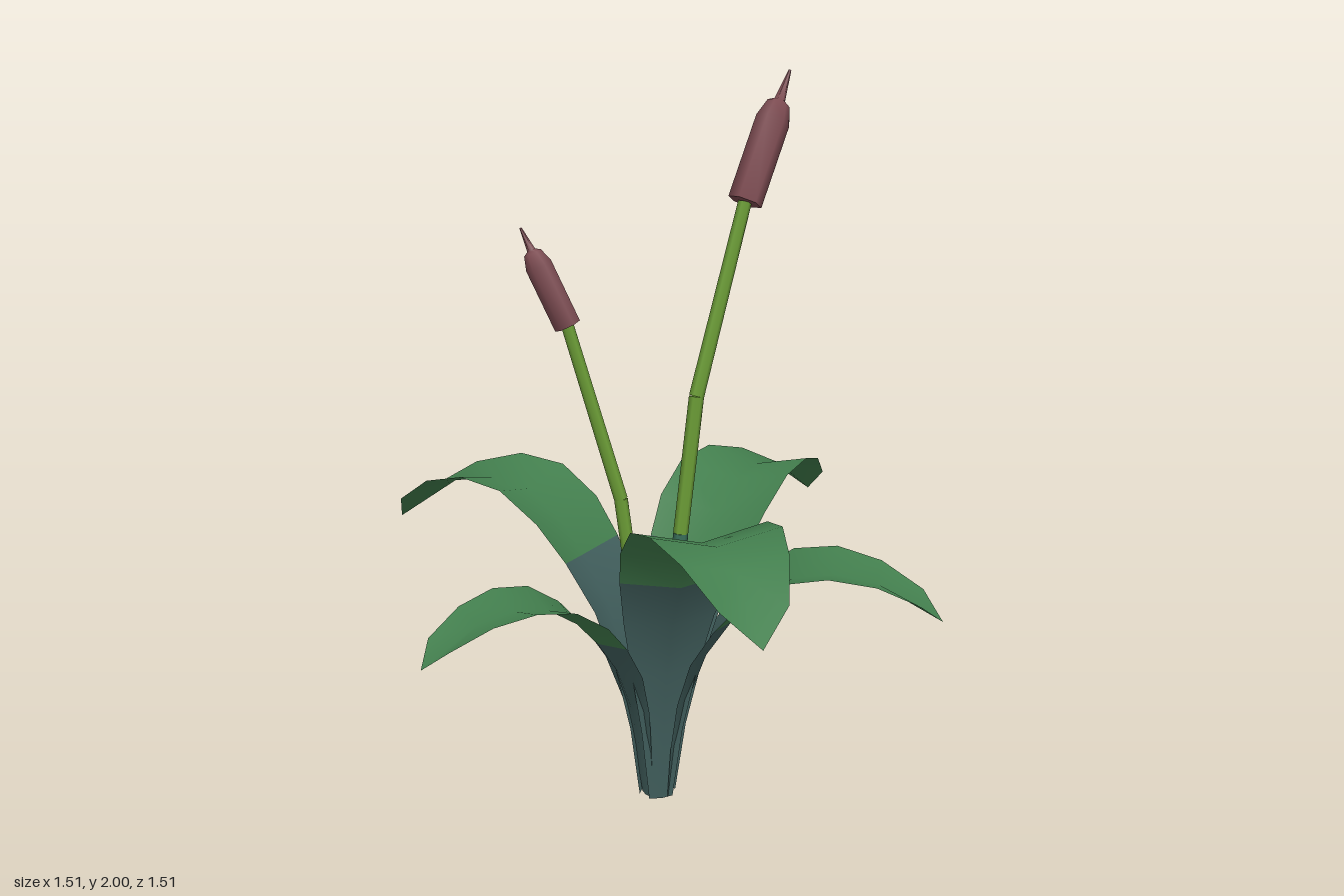
import * as THREE from 'three';
import { toCreasedNormals } from 'three/addons/utils/BufferGeometryUtils.js';

const mat = (name, color, side = THREE.FrontSide) =>
  new THREE.MeshStandardMaterial({ name, color, side });

// leaf rows from root to end: fraction of reach, height of midrib, half width
const ROWS = [
  [0.055, 0, 0.035], [0.08, 0.2, 0.06], [0.12, 0.38, 0.095], [0.18, 0.54, 0.13],
  [0.27, 0.67, 0.16], [0.36, 0.765, 0.178], [0.48, 0.84, 0.182],
  [0.62, 0.862, 0.17], [0.77, 0.84, 0.135], [0.92, 0.775, 0.085],
];
const TIP = [1, 0.715];
const COLOUR_ROW = 4; // the leaf changes colour here
const CENTRE = new THREE.Vector3(-0.06, 0, -0.04);

// arched leaf with a shallow V section, three points per row
function leafGeometry(tipX, tipZ, height, width) {
  const dir = new THREE.Vector3(tipX - CENTRE.x, 0, tipZ - CENTRE.z);
  const reach = dir.length();
  dir.normalize();
  const side = new THREE.Vector3(-dir.z, 0, dir.x);
  const pos = [], index = [];
  ROWS.forEach(([r, y, w], i) => {
    const a = ROWS[Math.max(i - 1, 0)], b = ROWS[Math.min(i + 1, ROWS.length - 1)];
    const slope = new THREE.Vector2((b[0] - a[0]) * reach, (b[1] - a[1]) * height).normalize();
    for (const k of [-1, 0, 1]) {
      const lift = Math.abs(k) * 0.22 * w * width;
      const isTip = k === 0 && i === ROWS.length - 1;
      const out = (isTip ? TIP[0] : r) * reach - slope.y * lift;
      const up = (isTip ? TIP[1] : y) * height + (i ? slope.x * lift : 0);
      const p = CENTRE.clone().addScaledVector(dir, out).addScaledVector(side, k * w * width);
      pos.push(p.x, up, p.z);
    }
  });
  for (let i = 0; i < ROWS.length - 1; i++) {
    for (let j = 0; j < 2; j++) {
      const a = i * 3 + j, b = a + 3;
      // diagonals mirror about the midrib
      if (j === 0) index.push(a, a + 1, b, a + 1, b + 1, b);
      else index.push(a, a + 1, b + 1, a, b + 1, b);
    }
  }
  const geo = new THREE.BufferGeometry();
  geo.setAttribute('position', new THREE.Float32BufferAttribute(pos, 3));
  geo.setIndex(index);
  geo.computeVertexNormals();
  geo.addGroup(0, COLOUR_ROW * 12, 0);
  geo.addGroup(COLOUR_ROW * 12, index.length - COLOUR_ROW * 12, 1);
  return geo;
}

// tapered rod between two points
function rod(name, from, to, r0, r1, material) {
  const axis = to.clone().sub(from);
  const mesh = new THREE.Mesh(new THREE.CylinderGeometry(r1, r0, axis.length(), 6), material);
  mesh.name = name;
  mesh.position.copy(from).addScaledVector(axis, 0.5);
  mesh.quaternion.setFromUnitVectors(new THREE.Vector3(0, 1, 0), axis.normalize());
  return mesh;
}

export function createModel() {
  const model = new THREE.Group();
  model.name = 'reedPlant';
  const leafBase = mat('leafBaseTeal', 0x42605e, THREE.DoubleSide);
  const leafGreen = mat('leafGreen', 0x437f4e, THREE.DoubleSide);
  const stemBase = mat('stemBaseGreen', 0x3a6f5a);
  const stemGreen = mat('stemGreen', 0x6b9c36);
  const headBrown = mat('seedHeadBrown', 0x7c4b51);

  // leaves: tip x, tip z, height scale, width scale
  const leaves = [
    ['frontLeaf', -0.31, 0.755, 1.01, 0.98],
    ['leftLeaf', 0.755, -0.37, 0.99, 1],
    ['backLeaf', -0.49, -0.755, 1.01, 0.98],
    ['rightLeaf', -0.76, -0.06, 0.72, 0.76],
    ['frontLeftLeaf', 0.49, 0.515, 0.78, 0.94],
  ];
  for (const [name, x, z, h, w] of leaves) {
    const leaf = new THREE.Mesh(leafGeometry(x, z, h, w), [leafBase, leafGreen]);
    leaf.name = name;
    model.add(leaf);
  }

  // seed head profile along its axis, spike included
  const profile = [[0, 0], [0.048, 0], [0.048, 0.235], [0.032, 0.285], [0.015, 0.295], [0.004, 0.381], [0, 0.381]]
    .map(([r, y]) => new THREE.Vector2(r, y));
  const headGeo = toCreasedNormals(new THREE.LatheGeometry(profile, 6), 1.1);

  // stalks: root, colour change, bend, head foot, spike tip
  const stalks = [
    ['tallStalk', 1, [-0.04, 0.01, -0.04], [0.022, 0.75, -0.04], [0.075, 1.13, -0.04], [0.235, 1.65, -0.04], [0.385, 2, -0.04]],
    ['shortStalk', 0.745, [-0.075, 0.01, -0.045], [-0.123, 0.72, -0.085], [-0.137, 0.86, -0.096], [-0.255, 1.335, -0.165], [-0.36, 1.595, -0.22]],
  ];
  for (const [name, size, ...points] of stalks) {
    const [root, change, bend, foot, tip] = points.map((p) => new THREE.Vector3(...p));
    const stalk = new THREE.Group();
    stalk.name = name;
    const r = 0.012 + 0.009 * size;
    stalk.add(rod('lowerStem', root, change, r * 1.1, r, stemBase));
    stalk.add(rod('middleStem', change, bend, r, r, stemGreen));
    stalk.add(rod('upperStem', bend, foot, r, r * 0.9, stemGreen));
    const head = new THREE.Mesh(headGeo, headBrown);
    head.name = 'seedHead';
    head.position.copy(foot);
    head.scale.setScalar(size);
    head.quaternion.setFromUnitVectors(new THREE.Vector3(0, 1, 0), tip.sub(foot).normalize());
    stalk.add(head);
    model.add(stalk);
  }
  return model;
}
